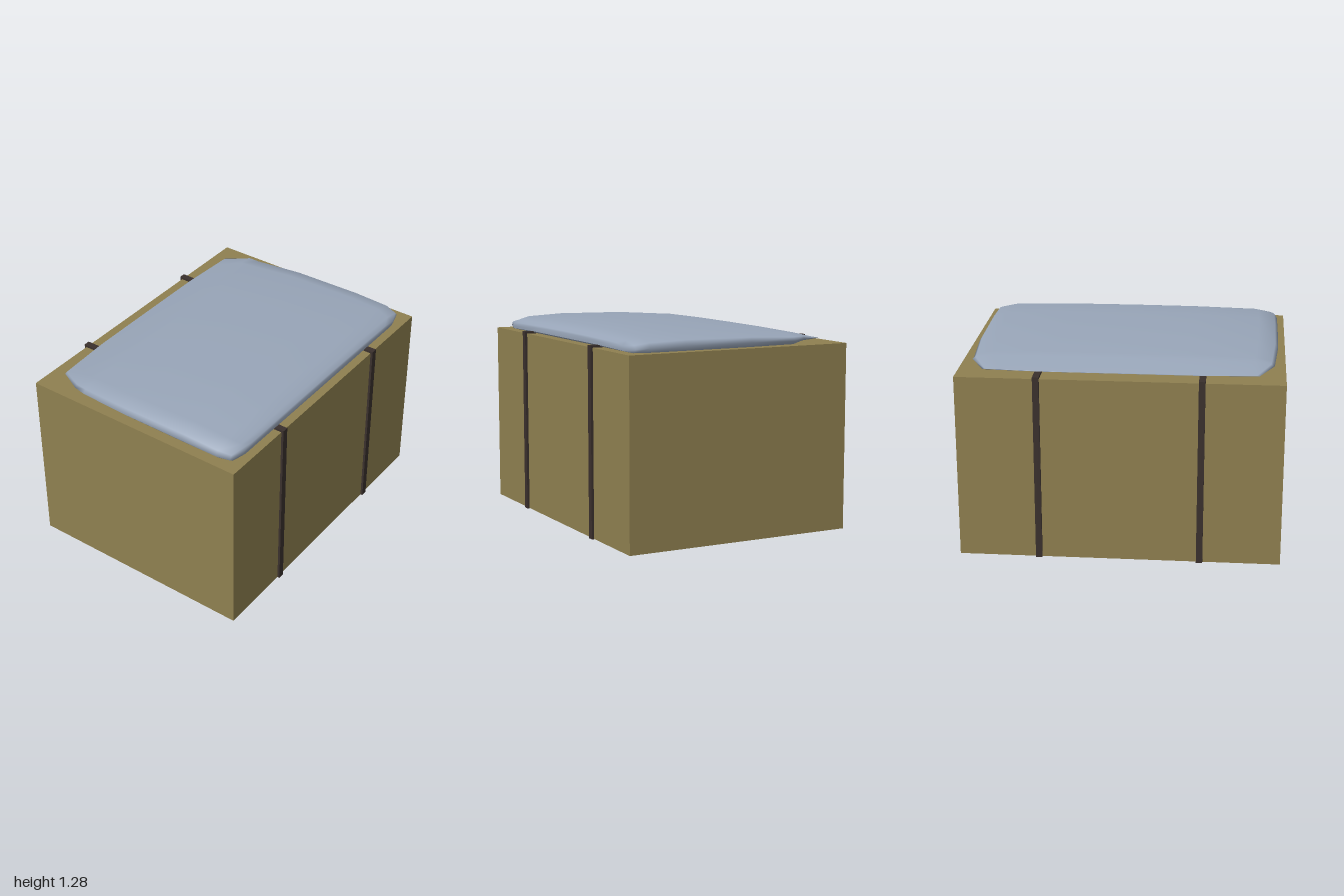
import * as THREE from 'three';

const material = (color, extra = {}) => new THREE.MeshStandardMaterial({ color, ...extra });

// Cushion stations, front to back: z, half width, underside y, top y
const STATIONS = [
  [0.705, 0.5, 1.185, 1.215], [0.70, 0.84, 1.178, 1.226], [0.672, 0.93, 1.17, 1.246],
  [0.59, 0.954, 1.17, 1.268], [0.35, 0.957, 1.17, 1.28], [-0.1, 0.955, 1.17, 1.271],
  [-0.42, 0.933, 1.17, 1.246], [-0.49, 0.928, 1.19, 1.238], [-0.65, 0.84, 1.191, 1.198],
  [-0.67, 0.5, 1.192, 1.195],
];

// Half of the rounded section: fraction of half width, fraction of height
const SECTION = [[0.97, 0], [1, 0.29], [0.98, 0.6], [0.87, 0.86], [0.43, 0.98]];

function cushionGeometry() {
  const arc = [
    ...SECTION.map(([x, y]) => [-x, y]),
    [0, 1],
    ...[...SECTION].reverse(),
  ];
  // Repeated bottom corners keep the underside edge crisp
  const ring = [...arc, [0.97, 0], [-0.97, 0]];
  const n = ring.length;
  const positions = [];
  const index = [];
  for (const [z, w, bottom, top] of STATIONS) {
    for (const [x, y] of ring) positions.push(x * w, bottom + y * (top - bottom), z);
  }
  for (let i = 0; i < STATIONS.length - 1; i++) {
    for (let j = 0; j < n - 1; j++) {
      if (j === arc.length - 1) continue;
      const a = i * n + j;
      index.push(a, a + 1, a + n, a + 1, a + n + 1, a + n);
    }
  }
  // Thin front and back ends
  const last = (STATIONS.length - 1) * n;
  for (let j = 1; j < arc.length - 1; j++) {
    index.push(0, j + 1, j, last, last + j, last + j + 1);
  }
  const geometry = new THREE.BufferGeometry();
  geometry.setAttribute('position', new THREE.Float32BufferAttribute(positions, 3));
  geometry.setIndex(index);
  geometry.computeVertexNormals();
  return geometry;
}

export function createModel() {
  const model = new THREE.Group();
  const add = (name, geometry, mat, x = 0, y = 0, z = 0) => {
    const mesh = new THREE.Mesh(geometry, mat);
    mesh.name = name;
    mesh.position.set(x, y, z);
    model.add(mesh);
  };

  // Main block
  add('block', new THREE.BoxGeometry(2, 1.169, 1.5), material(0x8f8050), 0, 0.5865, 0);

  // Straps wrapped round the block
  const strapMaterial = material(0x3a302d);
  for (const [name, x] of [['leftStrap', 0.5], ['rightStrap', -0.5]]) {
    add(name, new THREE.BoxGeometry(0.04, 1.185, 1.53), strapMaterial, x, 0.5925, 0);
  }

  // Soft cushion tapering toward the back
  add('cushion', cushionGeometry(), material(0x98a5b8, { side: THREE.DoubleSide }));

  return model;
}
